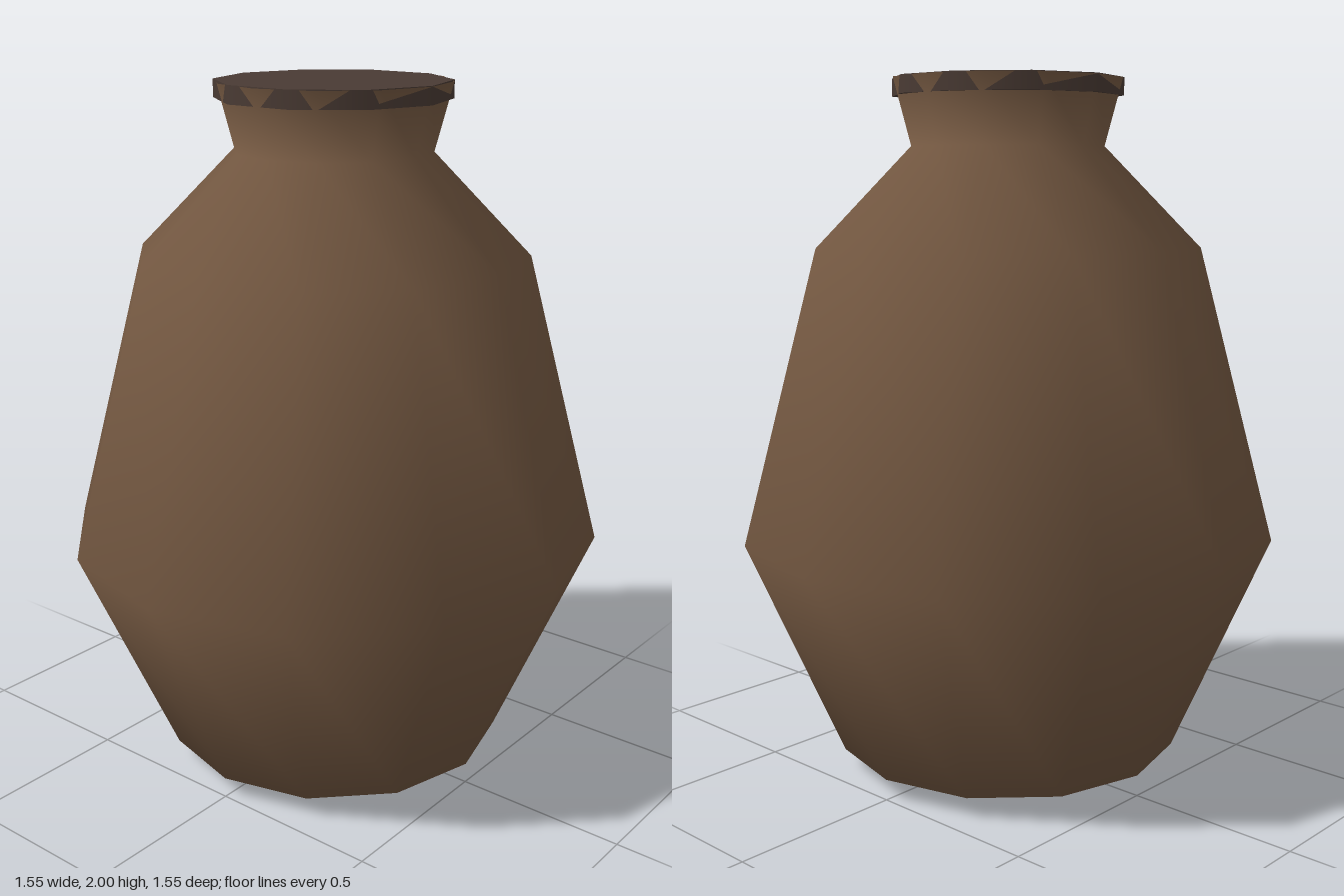
import * as THREE from 'three';

export function createModel() {
  const group = new THREE.Group();
  const clay = new THREE.MeshStandardMaterial({ color: 0x755942 });
  clay.name = 'brown clay';
  clay.side = THREE.DoubleSide;
  const dark = new THREE.MeshStandardMaterial({ color: 0x4a3b34 });
  dark.name = 'dark brown';

  // Pot body: twelve-sided, smooth-shaded profile from base tip to flared lip
  const profile = [
    [0, 0], [0.5, 0.06], [0.775, 0.7], [0.555, 1.53], [0.28, 1.81], [0.33, 1.998],
  ].map(([r, y]) => new THREE.Vector2(r, y));
  const body = new THREE.Mesh(new THREE.LatheGeometry(profile, 12), clay);
  body.name = 'potBody';
  group.add(body);

  // Lid: thin ten-sided disc set into the lip, corners on the x axis
  const lid = new THREE.Mesh(new THREE.CylinderGeometry(0.33, 0.33, 0.05, 10), dark);
  lid.name = 'lid';
  lid.position.y = 1.975;
  lid.rotation.y = Math.PI / 2;
  group.add(lid);

  return group;
}
